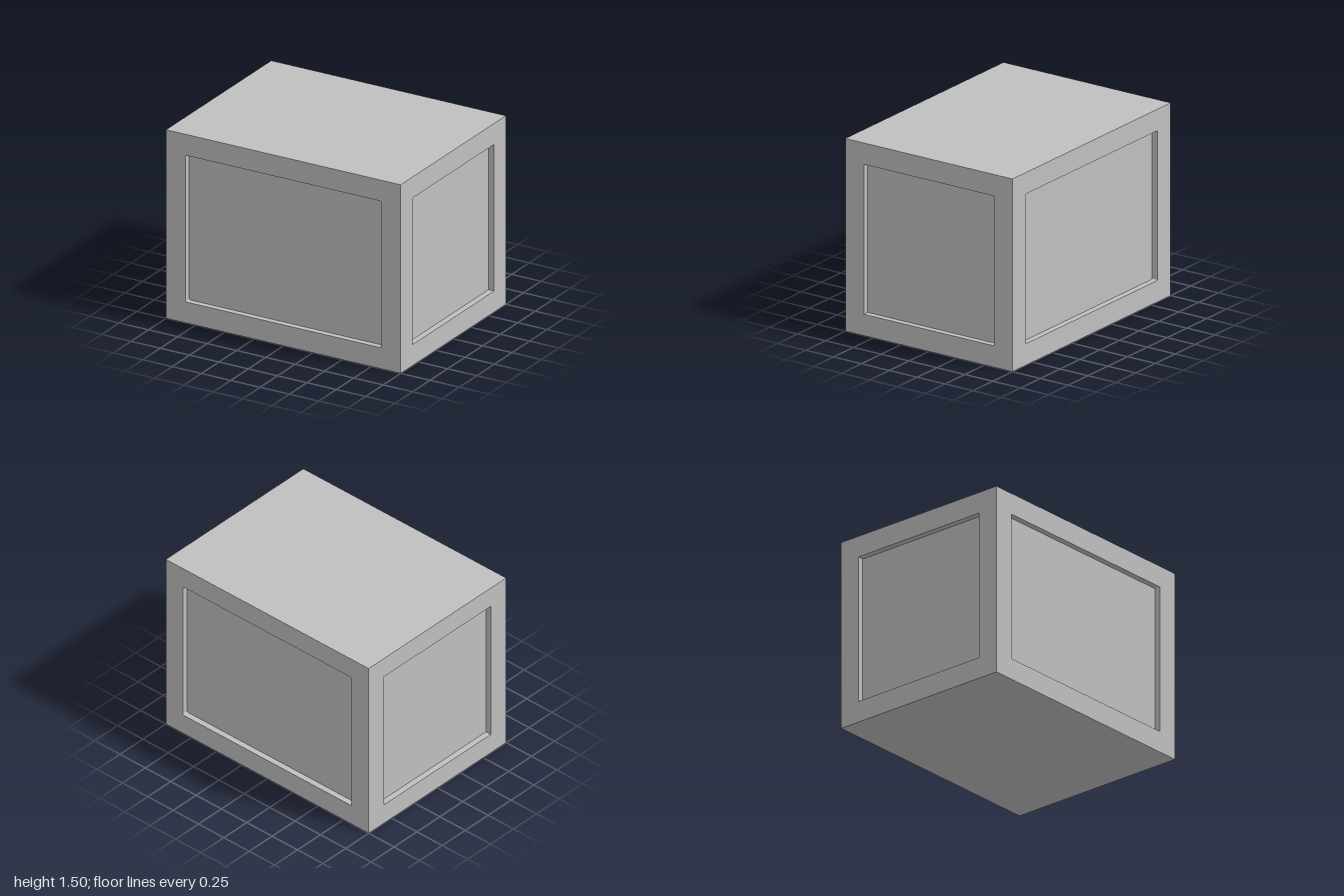
import * as THREE from 'three';

const W = 2, H = 1.5, D = 1.5;   // overall size
const BORDER = 0.167, DEPTH = 0.048; // frame width and recess depth

const grey = new THREE.MeshStandardMaterial({ color: 0xc0c0c0 });
grey.name = 'grey';

// Counter-clockwise rectangle centred on the origin, with optional rounded corners
function rectangle(w, h, r = 0) {
  const x = w / 2, y = h / 2, s = new THREE.Shape();
  if (r === 0) {
    return s.moveTo(-x, -y).lineTo(x, -y).lineTo(x, y).lineTo(-x, y).closePath();
  }
  s.moveTo(-x + r, -y).lineTo(x - r, -y).quadraticCurveTo(x, -y, x, -y + r);
  s.lineTo(x, y - r).quadraticCurveTo(x, y, x - r, y);
  s.lineTo(-x + r, y).quadraticCurveTo(-x, y, -x, y - r);
  s.lineTo(-x, -y + r).quadraticCurveTo(-x, -y, -x + r, -y);
  return s;
}

// Inward-facing walls that follow an outline from z = 0 back to z = -depth
function wallGeometry(shape, depth) {
  const pts = shape.getPoints(4);
  if (pts[0].distanceTo(pts[pts.length - 1]) < 1e-6) pts.pop();
  const pos = [];
  pts.forEach((a, i) => {
    const b = pts[(i + 1) % pts.length];
    pos.push(a.x, a.y, 0, b.x, b.y, 0, b.x, b.y, -depth);
    pos.push(a.x, a.y, 0, b.x, b.y, -depth, a.x, a.y, -depth);
  });
  const g = new THREE.BufferGeometry();
  g.setAttribute('position', new THREE.Float32BufferAttribute(pos, 3));
  g.computeVertexNormals();
  return g;
}

function addMesh(parent, name, geometry) {
  const mesh = new THREE.Mesh(geometry, grey);
  mesh.name = name;
  parent.add(mesh);
  return mesh;
}

// One upright side: border frame, recess walls and sunken panel
function createSide(name, width, distance, angle, radius) {
  const side = new THREE.Group();
  side.name = name;
  const opening = rectangle(width - 2 * BORDER, H - 2 * BORDER, radius);
  const frame = rectangle(width, H);
  frame.holes.push(opening);
  addMesh(side, name + 'Frame', new THREE.ShapeGeometry(frame, 4));
  addMesh(side, name + 'RecessWalls', wallGeometry(opening, DEPTH));
  addMesh(side, name + 'Panel', new THREE.ShapeGeometry(opening, 4)).position.z = -DEPTH;
  side.position.set(Math.sin(angle) * distance, H / 2, Math.cos(angle) * distance);
  side.rotation.y = angle;
  return side;
}

export function createModel() {
  const crate = new THREE.Group();
  crate.name = 'panelledBox';

  // Four recessed sides
  crate.add(createSide('front', W, D / 2, 0, 0.012));
  crate.add(createSide('left', D, W / 2, Math.PI / 2, 0));
  crate.add(createSide('back', W, D / 2, Math.PI, 0.012));
  crate.add(createSide('right', D, W / 2, -Math.PI / 2, 0));

  // Plain top and bottom
  const top = addMesh(crate, 'top', new THREE.PlaneGeometry(W, D));
  top.rotation.x = -Math.PI / 2;
  top.position.y = H;
  const bottom = addMesh(crate, 'bottom', new THREE.PlaneGeometry(W, D));
  bottom.rotation.x = Math.PI / 2;

  return crate;
}
